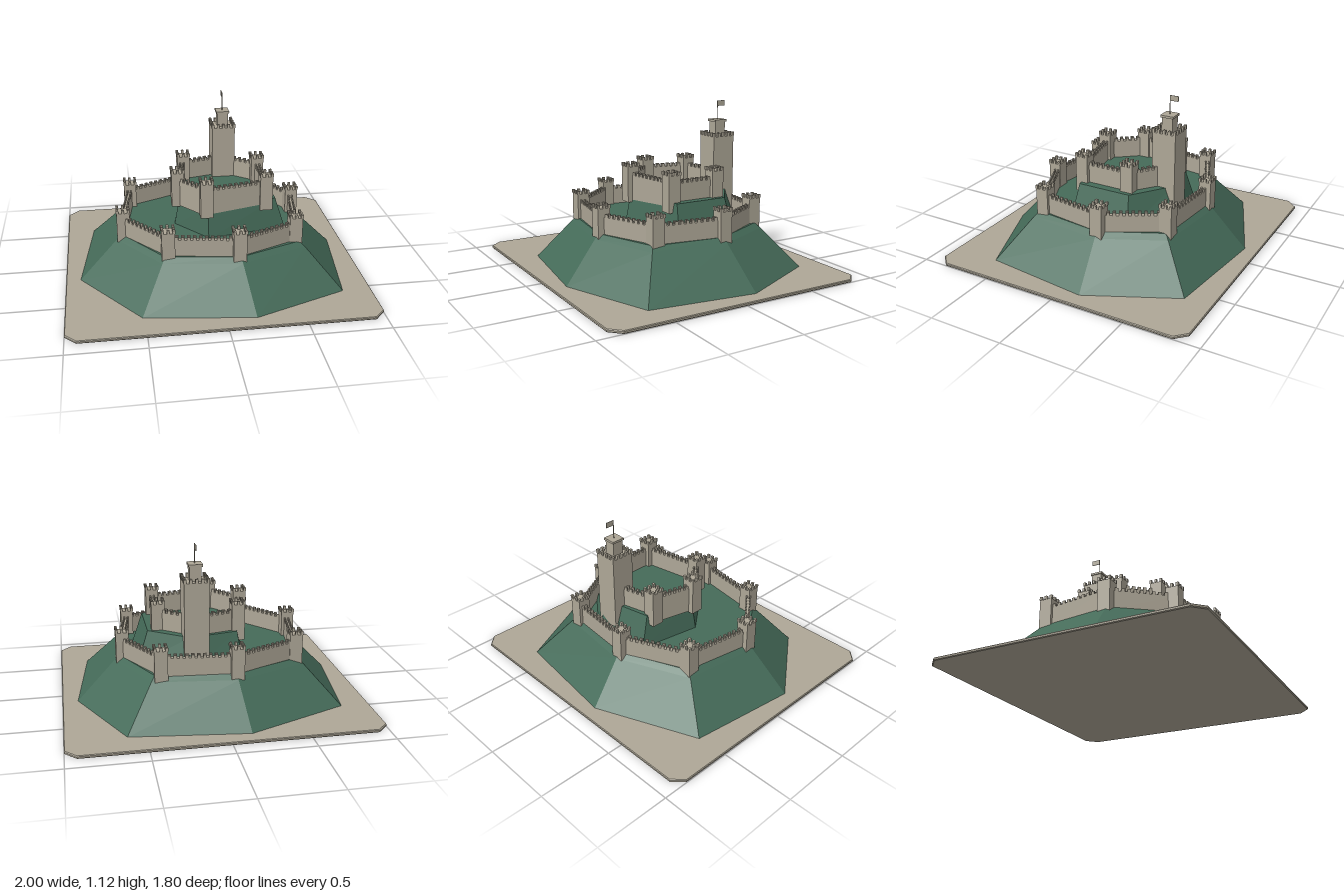
import * as THREE from 'three';
import { mergeGeometries } from 'three/addons/utils/BufferGeometryUtils.js';

const stone = new THREE.MeshStandardMaterial({ name: 'stone', color: 0xaea797 });
const grass = new THREE.MeshStandardMaterial({ name: 'grass', color: 0x456b59 });

const outerTowers = [[-0.1, -0.53], [0.38, -0.48], [0.59, -0.1], [0.52, 0.35],
  [0.12, 0.52], [-0.33, 0.45], [-0.6, 0.12], [-0.53, -0.34]];
const keepSpot = [0.14, -0.36];
const innerTowers = [[0.36, -0.19], [0.36, 0.14], [-0.05, 0.21], [-0.22, 0], [-0.15, -0.29]];

function mesh(name, geometry, material) {
  const m = new THREE.Mesh(geometry, material);
  m.name = name;
  return m;
}

// Box standing on height y0
function box(w, h, d, x, y0, z) {
  return new THREE.BoxGeometry(w, h, d).translate(x, y0 + h / 2, z);
}

// Faceted solid through rings of [x, z] points (clockwise from above), with both ends closed
function loft(rings) {
  const pos = [];
  const tri = (...pts) => pts.forEach((p) => pos.push(p[0], p[1], p[2]));
  const r3 = rings.map(({ y, pts }) => pts.map(([x, z]) => [x, y, z]));
  const n = r3[0].length;
  for (let k = 0; k < r3.length - 1; k++) {
    const a = r3[k], b = r3[k + 1];
    for (let i = 0; i < n; i++) {
      const j = (i + 1) % n;
      tri(a[j], a[i], b[i]);
      tri(a[j], b[i], b[j]);
    }
  }
  const bottom = r3[0], top = r3[r3.length - 1];
  for (let i = 1; i < n - 1; i++) {
    tri(bottom[0], bottom[i], bottom[i + 1]);
    tri(top[0], top[i + 1], top[i]);
  }
  const g = new THREE.BufferGeometry();
  g.setAttribute('position', new THREE.Float32BufferAttribute(pos, 3));
  g.computeVertexNormals();
  return g;
}

const scaled = (pts, s) => pts.map(([x, z]) => [x * s, z * s]);

// Square tower with merlons around its rim
function tower(name, [x, z], w, y0, y1, merlonHeight, count) {
  const parts = [box(w, y1 - y0, w, x, y0, z)];
  const m = w / (2 * count - 1);
  const edge = w / 2 - m / 2 + 0.003;
  for (let i = 0; i < count; i++) {
    for (let j = 0; j < count; j++) {
      if (i % (count - 1) && j % (count - 1)) continue;
      const at = (k) => -edge + (2 * edge * k) / (count - 1);
      parts.push(box(m, merlonHeight, m, x + at(i), y1, z + at(j)));
    }
  }
  return mesh(name, mergeGeometries(parts), stone);
}

// Straight wall with merlons along both edges
function wall(name, [x0, z0], [x1, z1], y0, y1) {
  const length = Math.hypot(x1 - x0, z1 - z0);
  const thick = 0.034;
  const parts = [box(length, y1 - y0, thick, 0, y0, 0)];
  const count = Math.round(length / 0.038);
  for (let i = 0; i < count; i++) {
    const x = ((i + 0.5) / count - 0.5) * length;
    for (const s of [-1, 1]) parts.push(box(0.021, 0.02, 0.01, x, y1, s * (thick / 2 - 0.005)));
  }
  const m = mesh(name, mergeGeometries(parts), stone);
  m.rotation.y = Math.atan2(z0 - z1, x1 - x0);
  m.position.set((x0 + x1) / 2, 0, (z0 + z1) / 2);
  return m;
}

function wallRing(name, spots, y0, y1) {
  const g = new THREE.Group();
  g.name = name;
  spots.forEach((p, i) => g.add(wall('curtainWall', p, spots[(i + 1) % spots.length], y0, y1)));
  return g;
}

export function createModel() {
  const model = new THREE.Group();
  model.name = 'hillCastle';

  // Base plate with clipped corners
  const plate = (e) => {
    const x = 1 - e, z = 0.9 - e, c = 0.07;
    return [[-x + c, -z], [x - c, -z], [x, -z + c], [x, z - c],
      [x - c, z], [-x + c, z], [-x, z - c], [-x, -z + c]];
  };
  model.add(mesh('basePlate', loft([
    { y: 0, pts: plate(0.004) }, { y: 0.005, pts: plate(0) },
    { y: 0.015, pts: plate(0) }, { y: 0.02, pts: plate(0.004) },
  ]), stone));

  // Main hill and the raised inner mound
  const foot = [[-0.14, -0.81], [0.62, -0.72], [0.9, -0.14], [0.81, 0.57],
    [0.19, 0.805], [-0.52, 0.71], [-0.905, 0.19], [-0.81, -0.53]];
  model.add(mesh('hill', loft([
    { y: 0.018, pts: foot },
    { y: 0.28, pts: scaled(foot, 0.716) },
    { y: 0.312, pts: scaled(foot, 0.675) },
  ]), grass));
  model.add(mesh('innerMound', loft([
    { y: 0.3, pts: [[-0.17, -0.41], [0.2, -0.48], [0.5, -0.25], [0.5, 0.165], [-0.04, 0.26], [-0.245, 0.01]] },
    { y: 0.52, pts: [[-0.14, -0.34], [0.18, -0.405], [0.43, -0.225], [0.43, 0.14], [-0.04, 0.215], [-0.205, 0.005]] },
  ]), grass));

  // Outer and inner defences
  model.add(wallRing('outerWalls', outerTowers, 0.285, 0.425));
  outerTowers.forEach((p) => model.add(tower('outerTower', p, 0.085, 0.275, 0.482, 0.023, 3)));
  model.add(wallRing('innerWalls', [keepSpot, ...innerTowers], 0.46, 0.638));
  innerTowers.forEach((p) => model.add(tower('innerTower', p, 0.085, 0.455, 0.695, 0.023, 3)));

  // Keep with turret, cap, pole and flag
  const [kx, kz] = keepSpot;
  model.add(tower('keep', keepSpot, 0.16, 0.38, 0.885, 0.026, 5));
  model.add(mesh('keepTurret', box(0.075, 0.1, 0.075, kx, 0.88, kz), stone));
  model.add(mesh('turretCap', box(0.09, 0.015, 0.09, kx, 0.98, kz), stone));
  model.add(mesh('flagPole', new THREE.CylinderGeometry(0.003, 0.003, 0.13, 6).translate(kx, 1.055, kz), stone));
  model.add(mesh('flag', box(0.003, 0.036, 0.058, kx, 1.084, kz - 0.029), stone));

  return model;
}
